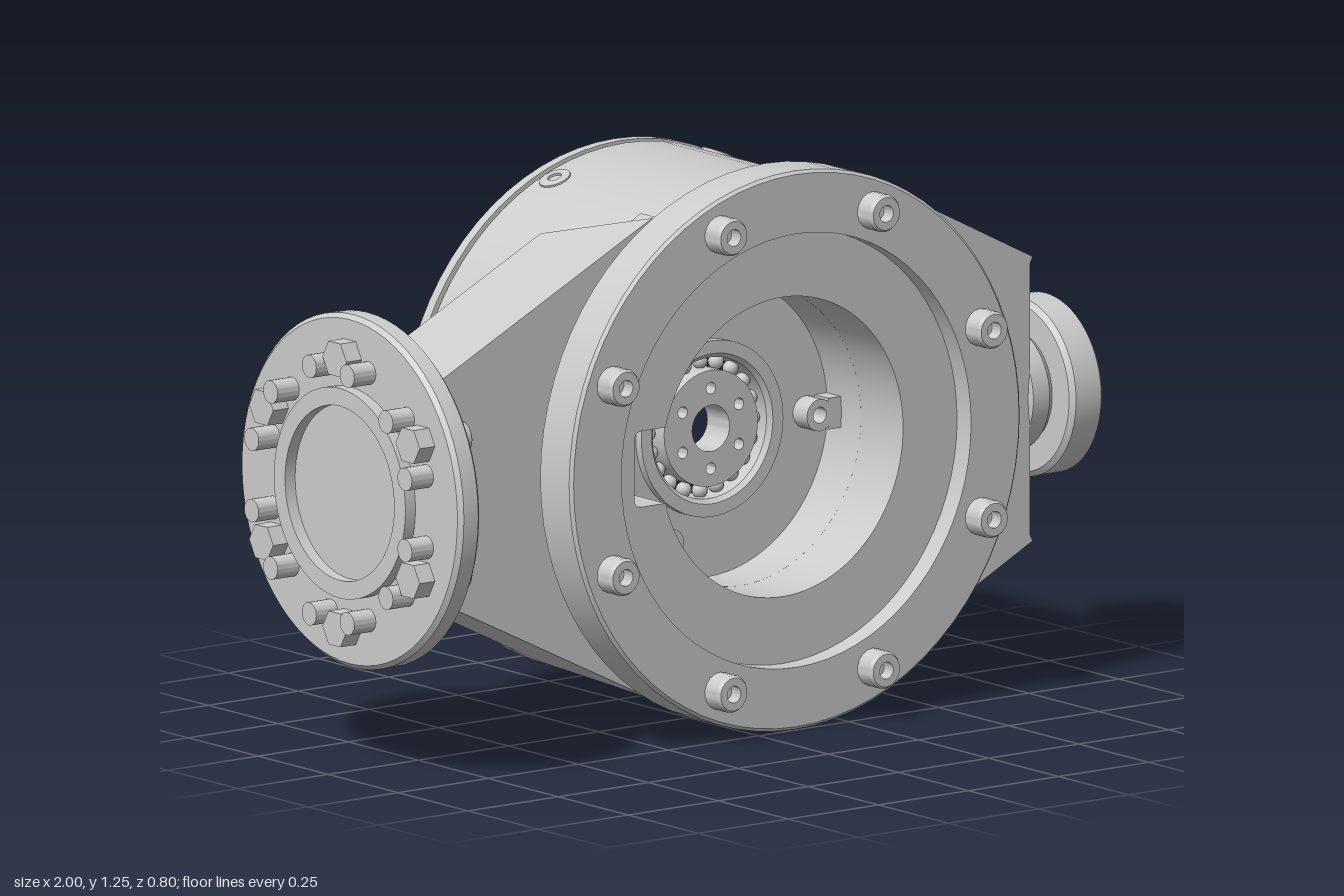
import * as THREE from 'three';
import { toCreasedNormals } from 'three/addons/utils/BufferGeometryUtils.js';

const MAT = new THREE.MeshStandardMaterial({ color: 0xcccccc });
const UP = new THREE.Vector3(0, 1, 0);
const X = new THREE.Vector3(1, 0, 0);
const Z = new THREE.Vector3(0, 0, 1);
const CX = 0.105, CY = 0.63; // main axis

export function createModel() {
  const root = new THREE.Group();

  const add = (name, geo, parent = root) => {
    const m = new THREE.Mesh(geo, MAT);
    m.name = name;
    parent.add(m);
    return m;
  };
  const group = (name, x, y, z) => {
    const g = new THREE.Group();
    g.name = name;
    g.position.set(x, y, z);
    root.add(g);
    return g;
  };
  // Solid of revolution: [radius, height] going up the outside, then back down inside
  const turned = (name, pts, axis, parent, seg = 64, closed = true) => {
    const p = pts.map(([r, h]) => new THREE.Vector2(r, h));
    if (closed) p.push(p[0].clone());
    const m = add(name, toCreasedNormals(new THREE.LatheGeometry(p, seg), 0.4), parent);
    m.quaternion.setFromUnitVectors(UP, axis);
    return m;
  };
  // Socket screw or sunk ring standing on a surface
  const screw = (name, parent, pos, dir, r, h) => {
    const pts = [[r, -0.01], [r, h * 0.85], [r * 0.88, h], [r * 0.45, h], [r * 0.45, h * 0.35], [0, h * 0.35]];
    const m = turned(name, pts, dir, parent, 18, false);
    m.position.copy(pos);
  };
  const ring = (n, r, offset, fn) => {
    for (let i = 0; i < n; i++) {
      const a = offset + (i * Math.PI * 2) / n;
      fn(r * Math.cos(a), r * Math.sin(a), a);
    }
  };
  const circle = (r, x = 0, y = 0) => new THREE.Path().absarc(x, y, r, 0, Math.PI * 2, true);
  const extrude = (shape, depth, curveSegments = 24) =>
    toCreasedNormals(new THREE.ExtrudeGeometry(shape, { depth, bevelEnabled: false, curveSegments }), 0.4);
  const disc = (r) => new THREE.Shape().absarc(0, 0, r, 0, Math.PI * 2, false);
  const box = (name, w, h, d, x, y, z, parent = root) => {
    const m = add(name, new THREE.BoxGeometry(w, h, d), parent);
    m.position.set(x, y, z);
    return m;
  };

  // Main housing with front flange, front and rear bores and a centre web
  const housing = group('housing', CX, CY, 0);
  turned('housingShell', [
    [0.575, -0.375], [0.588, -0.365], [0.588, 0.125], [0.61, 0.125], [0.625, 0.14], [0.625, 0.243], [0.618, 0.25],
    [0.485, 0.25], [0.485, 0.05], [0.335, 0.05], [0.335, -0.07], [0.19, -0.07], [0.19, -0.13],
    [0.34, -0.13], [0.34, -0.375],
  ], Z, housing, 72);

  // Recessed front liner with a notch in the left of its bore
  const liner = disc(0.487);
  const na = Math.asin(0.085 / 0.335);
  const bore = new THREE.Path();
  bore.absarc(0, 0, 0.335, Math.PI - na, -Math.PI + na, true);
  bore.lineTo(-0.39, -0.085);
  bore.quadraticCurveTo(-0.41, -0.085, -0.41, -0.065);
  bore.lineTo(-0.41, 0.065);
  bore.quadraticCurveTo(-0.41, 0.085, -0.39, 0.085);
  bore.closePath();
  liner.holes.push(bore);
  add('frontLiner', extrude(liner, 0.15, 48), housing).position.z = 0.05;

  // Front flange screws and radial screws near the rear
  ring(8, 0.553, Math.PI / 8, (x, y) =>
    screw('flangeScrew', housing, new THREE.Vector3(x, y, 0.25), Z, 0.042, 0.05));
  ring(8, 0.583, Math.PI / 8, (x, y, a) =>
    screw('radialScrew', housing, new THREE.Vector3(x, y, -0.322),
      new THREE.Vector3(Math.cos(a), Math.sin(a), 0), 0.036, 0.01));

  // Rear cover with drilled holes and sunk screws
  const cover = disc(0.592);
  cover.holes.push(circle(0.36));
  ring(8, 0.44, Math.PI / 8, (x, y) => {
    cover.holes.push(circle(0.035, x, y));
    screw('coverScrew', housing, new THREE.Vector3(x, y, -0.373), Z.clone().negate(), 0.029, 0.014);
  });
  ring(16, 0.53, Math.PI / 16, (x, y) => cover.holes.push(circle(0.02, x, y)));
  add('rearCover', extrude(cover, 0.025, 36), housing).position.z = -0.4;
  turned('rearSeal', [[0.352, -0.386], [0.352, -0.37], [0.322, -0.37], [0.322, -0.386]], Z, housing);

  // Screw bosses on the web
  ring(3, 0.275, 0, (x, y, a) => {
    const b = new THREE.Group();
    b.name = 'webBoss';
    b.position.set(x, y, -0.07);
    b.rotation.z = a;
    housing.add(b);
    turned('bossPost', [[0.036, -0.01], [0.036, 0.05], [0.018, 0.05], [0.018, 0], [0, 0]], Z, b, 20, false);
    box('bossRib', 0.045, 0.07, 0.06, 0.046, 0, 0.02, b);
  });

  // Centre bearing: outer race, balls, inner race with drilled hub
  turned('centreOuterRace', [[0.197, -0.14], [0.197, -0.05], [0.168, -0.05], [0.158, -0.06], [0.158, -0.13], [0.168, -0.14]], Z, housing);
  ring(20, 0.145, 0, (x, y) => {
    add('centreBall', new THREE.SphereGeometry(0.018, 12, 8), housing).position.set(x, y, -0.095);
  });
  const hub = disc(0.13);
  hub.holes.push(circle(0.052));
  ring(6, 0.09, Math.PI / 6, (x, y) => hub.holes.push(circle(0.013, x, y)));
  add('centreHub', extrude(hub, 0.08), housing).position.z = -0.135;

  // Side arms: front plate, sloped walls, end plate and middle rib, open at the back
  const T = 0.035;
  const arm = (name, side, endX, endH, tipX, tipH, cutX) => {
    const g = group(name, 0, CY, 0);
    // Plate outline follows the housing on its inner edge
    const a = Math.atan2(tipH, Math.abs(tipX - CX));
    const s = new THREE.Shape();
    s.moveTo(endX, -endH);
    s.lineTo(endX, endH);
    s.lineTo(tipX, tipH);
    for (let i = 0; i <= 16; i++) {
      const t = a - (i / 16) * 2 * a;
      s.lineTo(CX + side * 0.56 * Math.cos(t), 0.56 * Math.sin(t));
    }
    s.lineTo(tipX, -tipH);
    s.closePath();
    add('armFrontPlate', extrude(s, 0.05), g).position.z = 0.075;
    // Walls with a slanted inner end
    const len = Math.hypot(tipX - endX, tipH - endH);
    const cut = len * (cutX - endX) / (tipX - endX);
    for (const m of [1, -1]) {
      const w = new THREE.Shape();
      w.moveTo(0, -0.12);
      w.lineTo(cut, -0.12);
      w.lineTo(len, 0.125);
      w.lineTo(0, 0.125);
      const geo = extrude(w, T);
      geo.translate(0, 0, -T / 2);
      const d = new THREE.Vector3(tipX - endX, m * (tipH - endH), 0).normalize();
      geo.applyMatrix4(new THREE.Matrix4().makeBasis(d, Z, d.clone().cross(Z)));
      add('armWall', geo, g).position.set(endX, m * (endH - T / 2), 0);
    }
    box('armEndPlate', 0.04, endH * 2, 0.245, endX - side * 0.02, 0, 0.0025, g);
    const inner = CX + side * 0.57;
    box('armRib', Math.abs(endX - inner), 0.04, 0.24, (endX + inner) / 2, 0, 0, g);
  };
  arm('rightArm', -1, -0.88, 0.2, -0.19, 0.54, -0.31);
  arm('leftArm', 1, 0.85, 0.32, 0.44, 0.53, 0.58);

  // Left trunnion: stepped neck and ball bearing
  const trunnion = group('leftTrunnion', 0, CY, 0);
  turned('trunnionNeck', [[0.11, 0.84], [0.138, 0.85], [0.138, 0.895], [0.12, 0.92], [0, 0.92]], X, trunnion, 48, false);
  turned('bearingOuterRace', [[0.188, 0.91], [0.2, 0.92], [0.2, 0.99], [0.19, 1], [0.178, 1], [0.172, 0.965], [0.172, 0.91]], X, trunnion);
  turned('bearingInnerRace', [[0.175, 0.915], [0.175, 0.96], [0.153, 0.96], [0.145, 0.995], [0.128, 0.995], [0.122, 0.98], [0, 0.98]], X, trunnion, 64, false);
  turned('bearingBack', [[0, 0.911], [0.185, 0.911], [0.185, 0.93]], X, trunnion, 48, false);
  ring(16, 0.163, Math.PI / 2, (y, z) => {
    add('bearingBall', new THREE.SphereGeometry(0.018, 14, 10), trunnion).position.set(0.978, y, z);
  });

  // Right mounting flange with through bolts, nuts, pins and a raised centre ring
  const mount = group('rightMountFlange', 0, CY, 0);
  turned('mountDisc', [[0, -0.94], [0.385, -0.94], [0.395, -0.93], [0.395, -0.89], [0.385, -0.88], [0, -0.88]], X, mount, 72, false);
  turned('mountRing', [[0.235, -0.968], [0.235, -0.93], [0.195, -0.93], [0.195, -0.968]], X, mount);
  ring(6, 0.302, 0, (y, z, a) => {
    screw('mountBolt', mount, new THREE.Vector3(-0.88, y, z), X, 0.04, 0.05);
    const nut = add('mountNut', new THREE.CylinderGeometry(0.043, 0.043, 0.045, 6).toNonIndexed(), mount);
    nut.geometry.computeVertexNormals();
    nut.rotation.z = Math.PI / 2;
    nut.position.set(-0.96, y, z);
    for (const k of [-0.24, 0.24]) {
      const pin = add('mountPin', toCreasedNormals(new THREE.CylinderGeometry(0.026, 0.026, 0.06, 16), 0.5), mount);
      pin.rotation.z = Math.PI / 2;
      pin.position.set(-0.97, 0.285 * Math.cos(a + k), 0.285 * Math.sin(a + k));
    }
  });

  return root;
}
